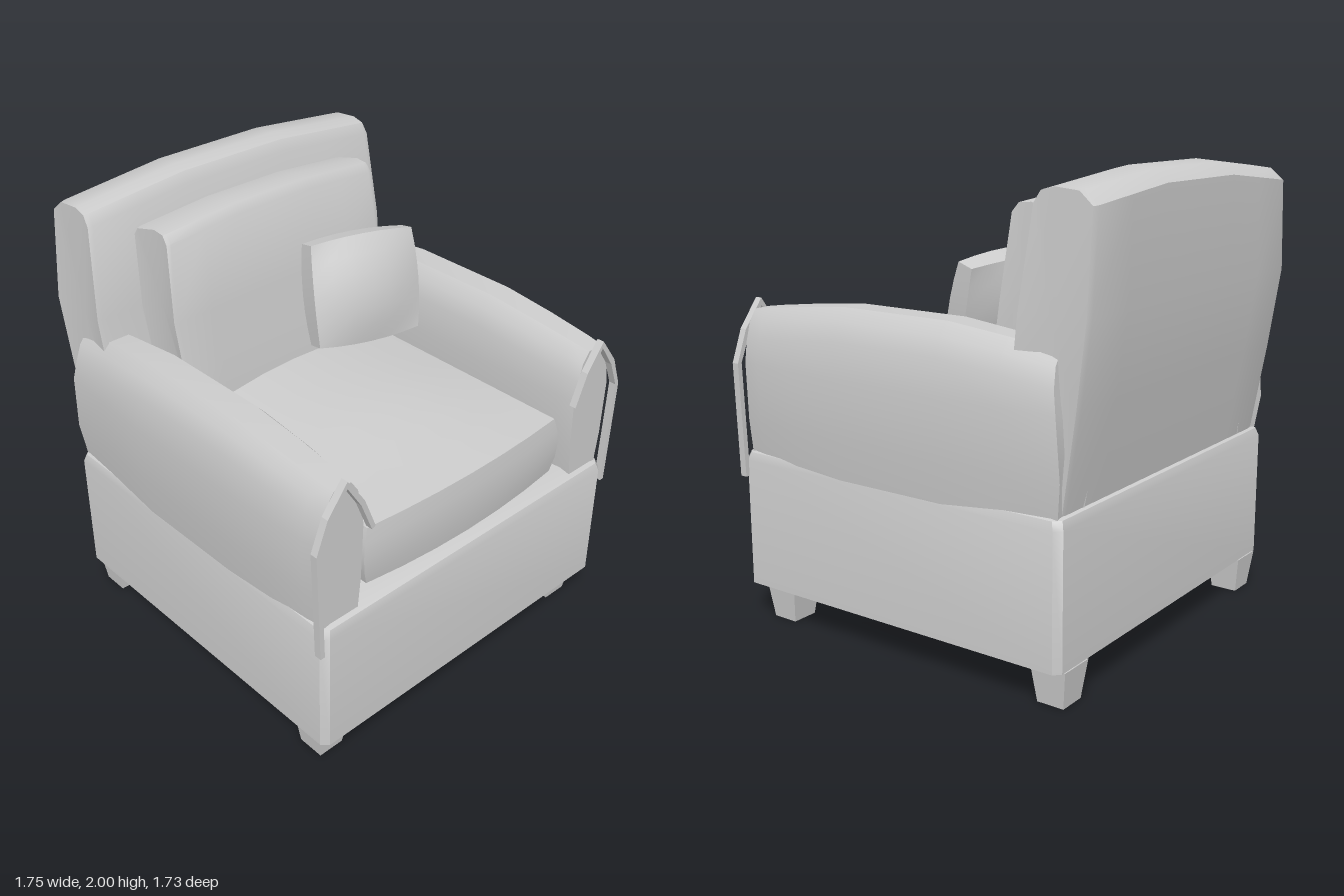
import * as THREE from 'three';
import { toCreasedNormals } from 'three/addons/utils/BufferGeometryUtils.js';

const fabric = new THREE.MeshStandardMaterial({ color: 0xcccccc, side: THREE.DoubleSide });
fabric.name = 'light grey';

// Skin a list of equal-length rings of [x, y, z]; ends close with a centre fan.
function loft(rings, capStart = true, capEnd = true, crease = 0.6) {
  const n = rings[0].length, pos = [];
  const tris = [];
  for (let i = 0; i < rings.length - 1; i++) {
    for (let j = 0; j < n; j++) {
      const k = (j + 1) % n;
      const a = rings[i][j], b = rings[i][k], c = rings[i + 1][k], d = rings[i + 1][j];
      tris.push([a, b, c], [a, c, d]);
    }
  }
  const cap = (ring, flip) => {
    const c = [0, 1, 2].map(q => ring.reduce((s, p) => s + p[q], 0) / n);
    ring.forEach((p, j) => {
      const r = ring[(j + 1) % n];
      tris.push(flip ? [c, r, p] : [c, p, r]);
    });
  };
  if (capStart) cap(rings[0], true);
  if (capEnd) cap(rings[rings.length - 1], false);
  // Make the faces point outward
  const v = p => new THREE.Vector3(...p);
  const volume = tris.reduce((s, [a, b, c]) => s + v(a).dot(v(b).cross(v(c))), 0);
  for (const [a, b, c] of tris) pos.push(...(volume < 0 ? [a, c, b] : [a, b, c]).flat());
  const g = new THREE.BufferGeometry();
  g.setAttribute('position', new THREE.Float32BufferAttribute(pos, 3));
  return toCreasedNormals(g, crease);
}

// Upright slab: a [z, y] side profile swept across x, with a crowned top
function slab(profile, halfWidth, crown, midY) {
  const rings = [-1, -0.97, -0.67, -0.35, 0, 0.35, 0.67, 0.97, 1].map(u => {
    const t = Math.max(0, (Math.abs(u) - 0.35) / 0.65);
    const inset = Math.abs(u) === 1 ? 0.95 : 1;
    const midZ = profile.reduce((s, p) => s + p[0], 0) / profile.length;
    return profile.map(([z, y]) => [
      u * halfWidth(y),
      y > midY ? y - crown * t : y,
      midZ + (z - midZ) * inset,
    ]);
  });
  return loft(rings);
}

// Puffed box whose vertices are moved by a rule of the -1..1 coordinates
function puff(segs, rule, crease = 0.7) {
  const g = new THREE.BoxGeometry(2, 2, 2, ...segs);
  const p = g.attributes.position;
  for (let i = 0; i < p.count; i++) p.setXYZ(i, ...rule(p.getX(i), p.getY(i), p.getZ(i)));
  return toCreasedNormals(g, crease);
}

export function createModel() {
  const group = new THREE.Group();
  const add = (name, geometry, parent = group) => {
    const m = new THREE.Mesh(geometry, fabric);
    m.name = name;
    parent.add(m);
    return m;
  };

  // Hollow base skirt, open below, closed by the deck under the cushion
  const baseRing = (y, s) => {
    const x = 0.84 - s, f = 0.868 - s, b = -0.77 + s, c = 0.028;
    return [[x, f - c], [x - c, f], [c - x, f], [-x, f - c],
      [-x, b + c], [c - x, b], [x - c, b], [x, b + c]].map(([px, pz]) => [px, y, pz]);
  };
  add('base', loft([baseRing(0.16, 0), baseRing(0.72, 0), baseRing(0.755, 0.012), baseRing(0.78, 0.08)],
    false, true));

  // Tapered square feet
  for (const x of [-0.72, 0.72]) for (const z of [0.715, -0.695]) {
    const foot = new THREE.CylinderGeometry(0.08 * Math.SQRT2, 0.06 * Math.SQRT2, 0.16, 4, 1).toNonIndexed();
    foot.rotateY(Math.PI / 4);
    foot.computeVertexNormals();
    add('foot', foot).position.set(x, 0.08, z);
  }

  // Arms: rounded section, fuller and higher mid-length, back end following the backrest
  const section = [[-0.105, 0.7], [-0.128, 0.9], [-0.14, 1.15], [-0.125, 1.3], [-0.1, 1.38], [-0.055, 1.43],
    [0.055, 1.43], [0.1, 1.38], [0.13, 1.3], [0.148, 1.15], [0.14, 0.9], [0.115, 0.7]];
  const stations = [[0.835, 0.76, 1], [0.75, 0.85, 0.8], [0.55, 0.95, 0.4], [0.3, 1, 0],
    [-0.22, 1, 0], [-0.5, 0.9, 0.5], [-0.72, 0.78, 1]];
  const armRings = stations.map(([z, w, drop]) => section.map(([x, y]) => [
    0.72 + x * w,
    y + (y < 0.8 ? 0.03 : y > 1.25 ? -0.06 : 0) * drop,
    z < -0.7 ? z - 0.05 * Math.max(0, 1 - Math.abs(y - 0.95) / 0.45) : z,
  ]));
  // Thin piping arch at the front of each arm
  const arch = new THREE.Shape([[0.858, 0.65], [0.874, 1.15], [0.82, 1.29], [0.725, 1.412], [0.64, 1.29],
    [0.582, 1.145], [0.6, 1.135], [0.655, 1.27], [0.725, 1.38], [0.803, 1.27], [0.853, 1.15], [0.836, 0.65]]
    .map(p => new THREE.Vector2(...p)));
  for (const side of [1, -1]) {
    const name = side > 0 ? 'left' : 'right';
    add(name + 'Arm', loft(armRings.map(r => r.map(([x, y, z]) => [x * side, y, z]))));
    const trim = new THREE.ExtrudeGeometry(arch, { depth: 0.032, bevelEnabled: false });
    trim.translate(-0.725, 0, 0.835);
    if (side < 0) trim.rotateY(Math.PI).translate(0, 0, 1.702);
    add(name + 'ArmPiping', trim).position.x = 0.725 * side;
  }

  // Reclined backrest
  add('backrest', slab(
    [[-0.45, 0.74], [-0.51, 1.2], [-0.55, 1.5], [-0.6, 1.94], [-0.63, 1.985], [-0.69, 2.0], [-0.8, 1.99],
      [-0.862, 1.94], [-0.86, 1.5], [-0.81, 1.15], [-0.74, 0.74]],
    y => y > 1.5 ? 0.8 - (y - 1.5) * 0.07 : 0.8 - (1.5 - y) * 0.03, 0.05, 1.7));

  // Loose back cushion
  add('backCushion', slab(
    [[-0.25, 1.06], [-0.27, 1.25], [-0.315, 1.5], [-0.36, 1.86], [-0.39, 1.895], [-0.45, 1.9],
      [-0.57, 1.87], [-0.59, 1.84], [-0.55, 1.5], [-0.48, 1.06]],
    y => 0.56 + 0.025 * (1 - ((y - 1.48) / 0.42) ** 2), 0.03, 1.6));

  // Seat cushion with a crowned top and bowed front
  add('seatCushion', puff([6, 4, 8], (u, v, w) => {
    const bulge = 1 - u * u;
    const rise = Math.min(1, (1 - w) * 1.2);
    return [
      u * (0.55 + 0.025 * (1 - v * v)),
      0.935 + v * 0.135 + (v > 0 ? 0.06 * v * bulge * rise : 0) - (v < 0 ? 0.015 * bulge : 0),
      0.145 + w * 0.645 + (w > 0 ? w * (0.028 * bulge + 0.012 * (1 - v * v)) : 0),
    ];
  }));

  // Throw pillow leaning in the corner on the model's left
  const pillow = add('throwPillow', puff([6, 6, 2], (u, v, w) => [
    u * (0.258 + 0.012 * (1 - v * v)),
    v * (0.228 + 0.016 * (1 - u * u)),
    w * (0.04 + 0.045 * (1 - u * u) * (1 - v * v) + 0.012 * (2 - u * u - v * v)),
  ]));
  pillow.position.set(0.33, 1.412, -0.17);
  pillow.rotation.set(-0.27, -0.2, -0.06, 'YXZ');

  return group;
}
